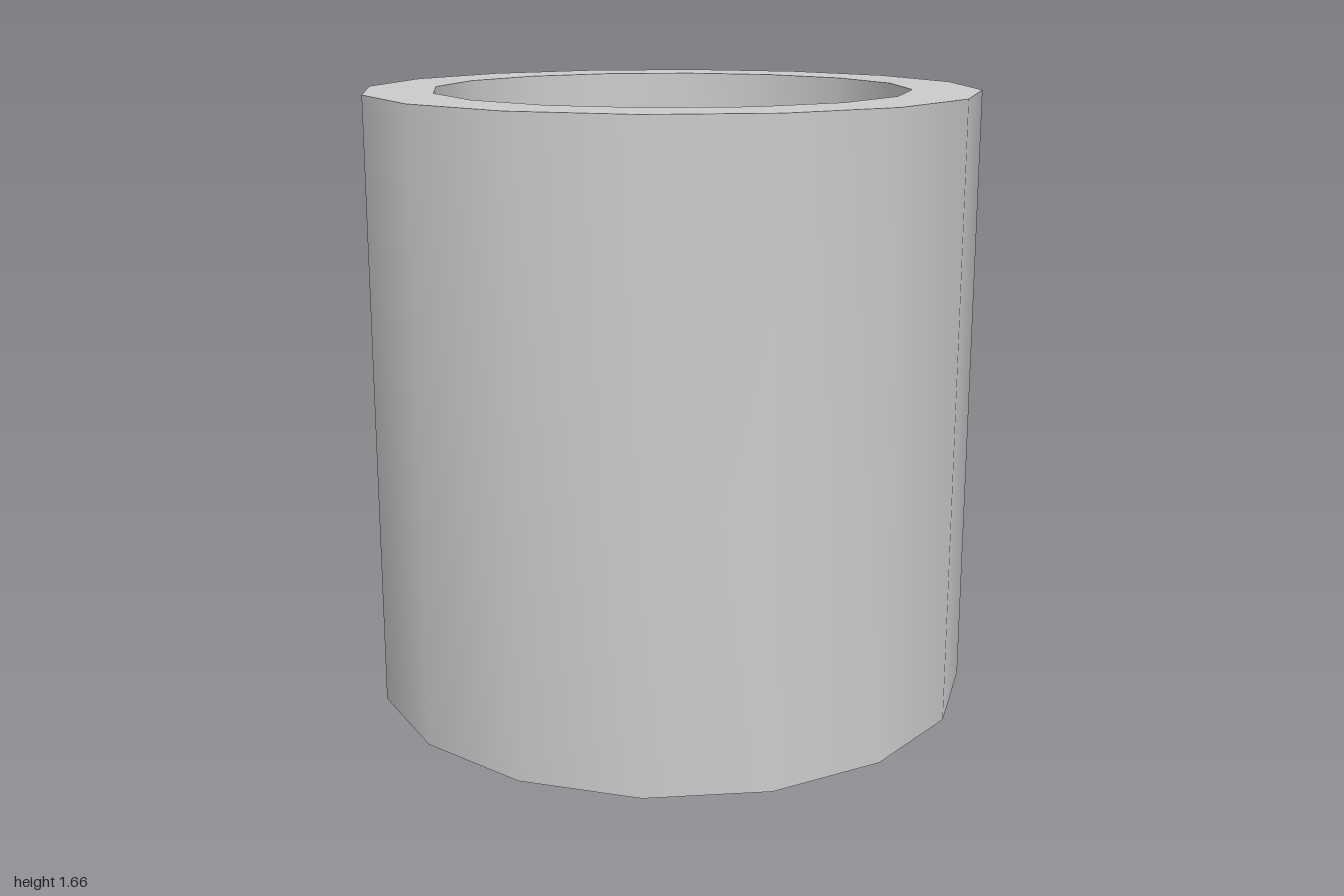
import * as THREE from 'three';
import { toCreasedNormals } from 'three/addons/utils/BufferGeometryUtils.js';

const CREASE = 0.9;
const SIDES = 16;

export function createModel() {
  const mug = new THREE.Group();
  mug.name = 'mug';
  const material = new THREE.MeshStandardMaterial({ color: 0xcccccc });

  const addPart = (name, geometry) => {
    const mesh = new THREE.Mesh(toCreasedNormals(geometry, CREASE), material);
    mesh.name = name;
    mug.add(mesh);
  };

  // Thick-walled cup: outside, flat rim, slightly tapered inside and floor
  const profile = [
    [0, 0], [0.83, 0], [0.83, 1.665], [0.645, 1.665], [0.62, 0.1], [0, 0.1],
  ].map(([r, y]) => new THREE.Vector2(r, y));
  addPart('cup', new THREE.LatheGeometry(profile, SIDES, Math.PI / SIDES));

  // Handle: upper halves of the outer and inner outline, as [distance, height from its middle]
  const outer = [[0.81, 0.475], [1.06, 0.475], [1.14, 0.455], [1.275, 0.37], [1.37, 0.2], [1.4, 0]];
  const inner = [[0.81, 0.32], [1.055, 0.32], [1.118, 0.305], [1.17, 0.26], [1.22, 0.14], [1.24, 0]];
  const mirrored = (half) => [...half, ...half.slice(0, -1).reverse().map(([x, y]) => [x, -y])];
  const outline = [...mirrored(outer), ...mirrored(inner).reverse()];
  const shape = new THREE.Shape(outline.map(([x, y]) => new THREE.Vector2(x, y)));
  const width = 0.207;
  const handle = new THREE.ExtrudeGeometry(shape, { depth: width, bevelEnabled: false });
  handle.translate(0, 0.86, -width / 2);
  addPart('handle', handle);

  // Turn the handle to the back left and centre the whole
  mug.rotation.y = THREE.MathUtils.degToRad(52.2);
  mug.position.set(-0.057, 0, 0.17);

  const model = new THREE.Group();
  model.add(mug);
  return model;
}
